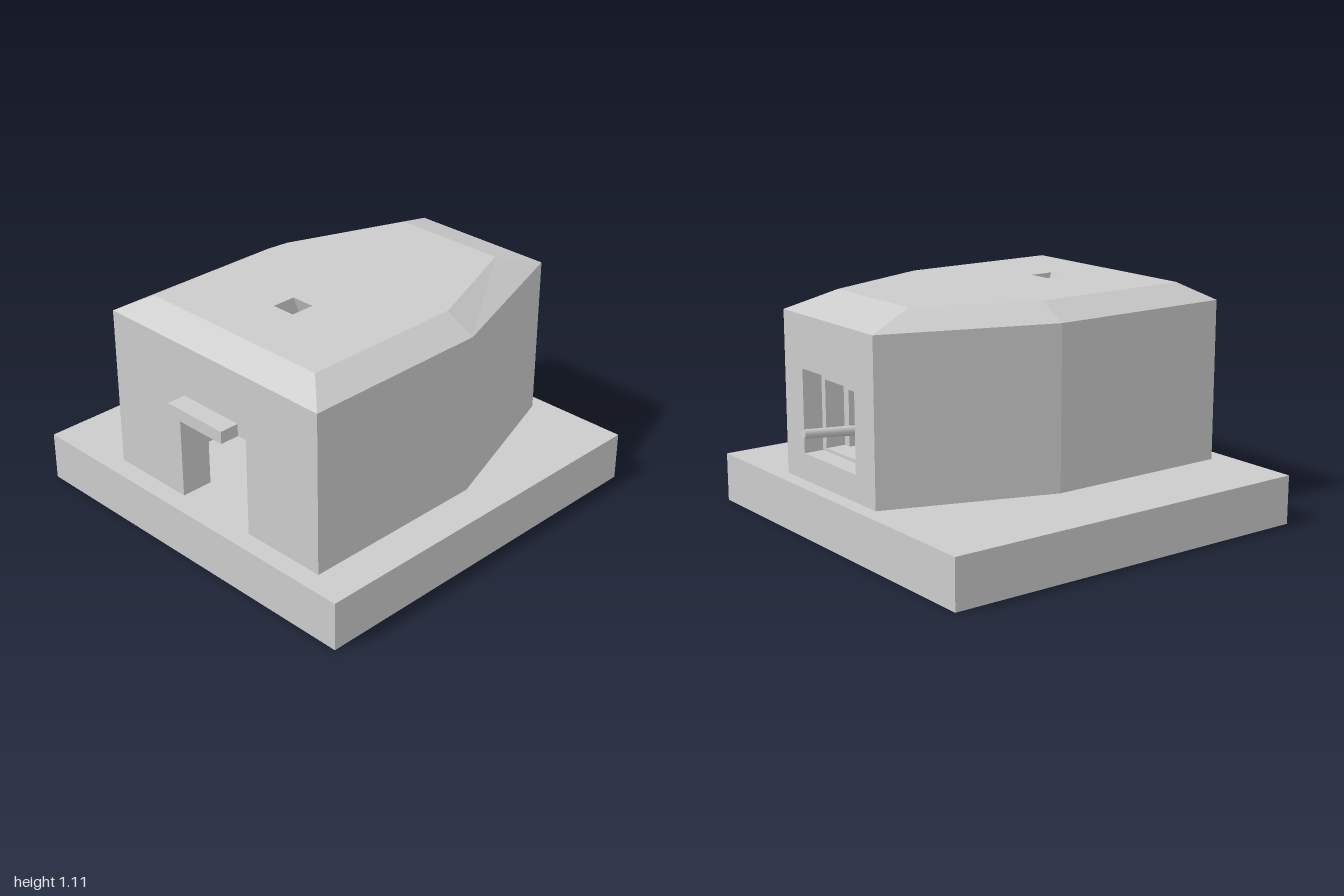
import * as THREE from 'three';

const mat = new THREE.MeshStandardMaterial({ color: 0xcccccc, flatShading: true });
const smooth = new THREE.MeshStandardMaterial({ color: 0xcccccc });
const thin = new THREE.MeshStandardMaterial({ color: 0xcccccc, flatShading: true, side: THREE.DoubleSide });

const FLOOR = 0.24, EAVES = 1.03, TOP = 1.11, CEILING = 0.88;

function add(parent, name, geometry, material = mat) {
  const mesh = new THREE.Mesh(geometry, material);
  mesh.name = name;
  parent.add(mesh);
  return mesh;
}

function box(parent, name, x0, x1, y0, y1, z0, z1) {
  const g = new THREE.BoxGeometry(x1 - x0, y1 - y0, z1 - z0);
  g.translate((x0 + x1) / 2, (y0 + y1) / 2, (z0 + z1) / 2);
  return add(parent, name, g);
}

function rod(parent, name, from, to, r0, r1 = r0, sides = 16) {
  const a = new THREE.Vector3(...from), b = new THREE.Vector3(...to);
  const dir = b.clone().sub(a);
  const mesh = add(parent, name, new THREE.CylinderGeometry(r1, r0, dir.length(), sides), smooth);
  mesh.position.copy(a).add(b).multiplyScalar(0.5);
  mesh.quaternion.setFromUnitVectors(new THREE.Vector3(0, 1, 0), dir.normalize());
  return mesh;
}

const shapeOf = pts => new THREE.Shape(pts.map(p => new THREE.Vector2(...p)));
const rect = (u0, u1, v0, v1) => [[u0, v0], [u1, v0], [u1, v1], [u0, v1]];

// Closes a half plan (+z side, back to front) by mirroring it in z
const mirrored = half => [...half, ...half.map(([x, z]) => [x, -z]).reverse()];

// Joins two plan loops at different heights with quads
function loft(low, y0, high, y1) {
  const v = [];
  low.forEach((_, i) => {
    const j = (i + 1) % low.length;
    const a = [low[i][0], y0, low[i][1]], b = [low[j][0], y0, low[j][1]];
    const c = [high[j][0], y1, high[j][1]], d = [high[i][0], y1, high[i][1]];
    v.push(...a, ...b, ...c, ...a, ...c, ...d);
  });
  const g = new THREE.BufferGeometry();
  g.setAttribute('position', new THREE.Float32BufferAttribute(v, 3));
  g.computeVertexNormals();
  return g;
}

// Upright slab across the x axis, drawn in (z, y)
function crossSlab(parent, name, shape, x0, depth) {
  const g = new THREE.ExtrudeGeometry(shape, { depth, bevelEnabled: false });
  g.rotateY(Math.PI / 2).translate(x0, 0, 0);
  return add(parent, name, g);
}

// Flat plate with a hole, facing up or down
function plate(parent, name, outline, hole, y, up) {
  const s = shapeOf(outline);
  s.holes.push(shapeOf(hole));
  const g = new THREE.ShapeGeometry(s);
  g.rotateX(up ? -Math.PI / 2 : Math.PI / 2).translate(0, y, 0);
  return add(parent, name, g, thin);
}

function buildShelter() {
  const shelter = new THREE.Group();
  shelter.name = 'shelter';

  // Side walls, bent towards the gun port
  const side = [[-0.905, 0.66], [0.045, 0.66], [0.865, 0.38], [0.565, 0.38],
    [0.565, 0.315], [0.02, 0.5], [-0.905, 0.5]];
  for (const s of [1, -1]) {
    const g = new THREE.ExtrudeGeometry(shapeOf(side.map(([x, z]) => [x, z * s])),
      { depth: EAVES - FLOOR, bevelEnabled: false });
    g.rotateX(Math.PI / 2).translate(0, EAVES, 0);
    add(shelter, s > 0 ? 'leftWall' : 'rightWall', g);
  }

  // Port wall in three layers, each with a smaller opening
  [[0.222, 0.37, 0.775], [0.19, 0.385, 0.715], [0.148, 0.385, 0.66]].forEach(([w, y0, y1], i) => {
    const s = shapeOf(rect(-0.38, 0.38, FLOOR, EAVES));
    s.holes.push(shapeOf(rect(-w, w, y0, y1)));
    crossSlab(shelter, 'portWall' + (i + 1), s, 0.765 - i * 0.1, 0.1);
  });

  // Rear wall with doorway and projecting lintel
  const rear = shapeOf([[-0.5, FLOOR], [-0.22, FLOOR], [-0.22, 0.72], [0.22, 0.72],
    [0.22, FLOOR], [0.5, FLOOR], [0.5, EAVES], [-0.5, EAVES]]);
  crossSlab(shelter, 'rearWall', rear, -0.905, 0.16);
  box(shelter, 'doorLintel', -1, -0.9, 0.72, 0.78, -0.18, 0.17);

  // Bevelled roof with a slanted vent
  const eaves = mirrored([[-0.905, 0.66], [0.045, 0.66], [0.865, 0.38]]);
  const crown = mirrored([[-0.775, 0.515], [0.04, 0.515], [0.62, 0.295]]);
  const inside = mirrored([[-0.745, 0.5], [0.02, 0.5], [0.565, 0.315]]);
  const vent = rect(-0.47, -0.35, -0.06, 0.06);
  const ventLow = vent.map(([x, z]) => [x + 0.085, z]);
  add(shelter, 'roofSlopes', loft(eaves, EAVES, crown, TOP));
  plate(shelter, 'roofTop', crown, vent, TOP, true);
  plate(shelter, 'ceiling', inside, ventLow, CEILING, false);
  add(shelter, 'ventShaft', loft(ventLow, CEILING, vent, TOP));
  return shelter;
}

function buildGun() {
  const gun = new THREE.Group();
  gun.name = 'fieldGun';
  // Barrel, recoil cylinder and breech, tilted slightly up
  rod(gun, 'barrel', [0.3, 0.465, 0], [1, 0.532, 0], 0.028, 0.021);
  rod(gun, 'recoilCylinder', [0.3, 0.425, 0], [0.62, 0.457, 0], 0.026);
  box(gun, 'breech', 0.2, 0.31, 0.41, 0.5, -0.035, 0.035);
  box(gun, 'carriage', 0.26, 0.46, 0.36, 0.43, -0.045, 0.045);
  rod(gun, 'axle', [0.38, 0.35, -0.075], [0.38, 0.35, 0.075], 0.015);
  // Wheels and split trail
  for (const s of [1, -1]) {
    rod(gun, 'wheel', [0.38, 0.35, s * 0.05], [0.38, 0.35, s * 0.075], 0.11, 0.11, 24);
    rod(gun, 'trailLeg', [0.32, 0.37, s * 0.03], [-0.05, 0.26, s * 0.12], 0.018);
  }
  return gun;
}

export function createModel() {
  const model = new THREE.Group();
  model.name = 'bunker';
  box(model, 'foundation', -1, 0.94, 0, FLOOR, -0.97, 0.97);
  const upper = new THREE.Group();
  upper.name = 'emplacement';
  upper.position.z = 0.115;
  upper.add(buildShelter(), buildGun());
  model.add(upper);
  return model;
}
